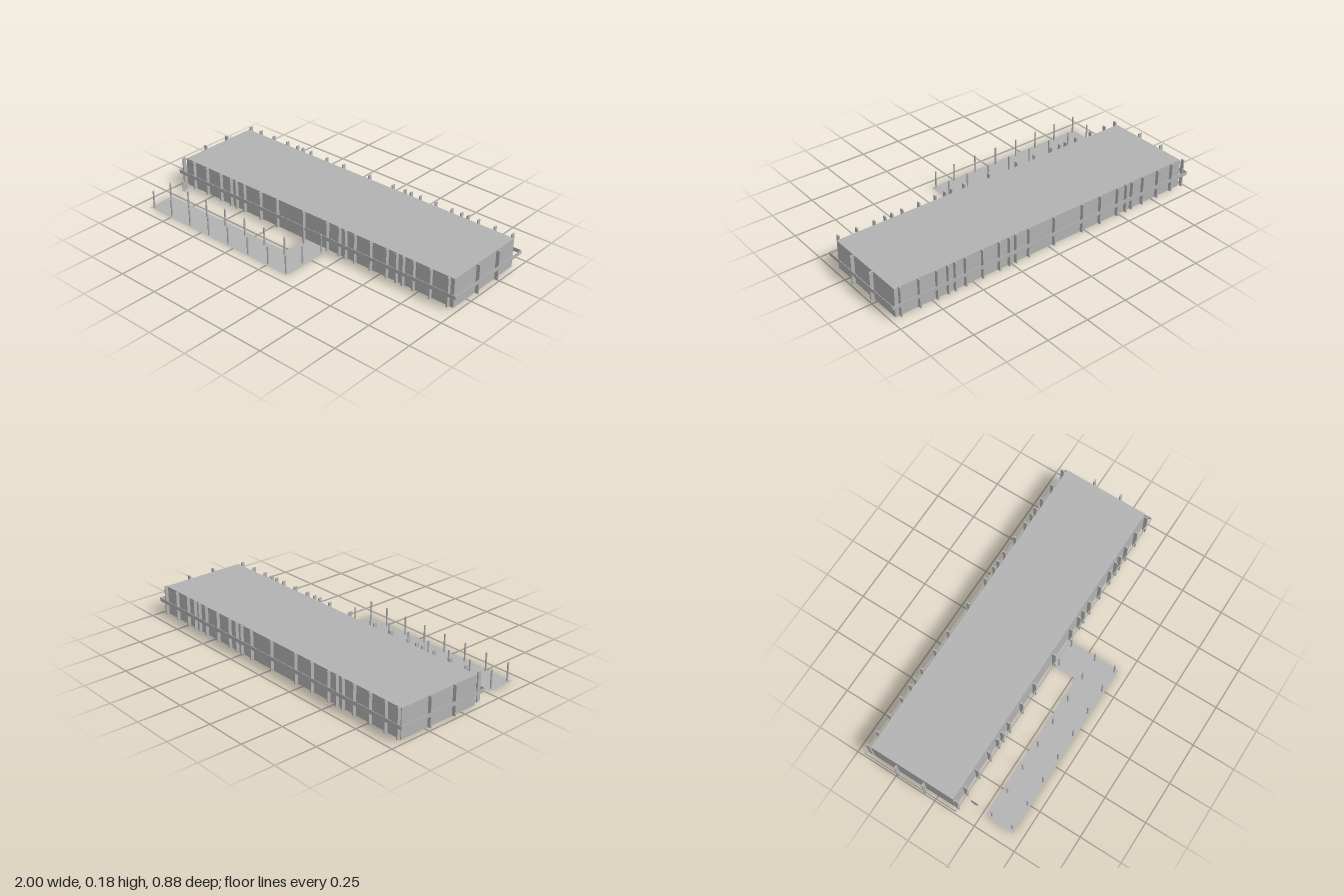
import * as THREE from 'three';

export function createModel() {
  const model = new THREE.Group();
  const grey = new THREE.MeshStandardMaterial({ color: 0xb2b2b2, side: THREE.DoubleSide });
  grey.name = 'grey';

  const add = (name, geometry, parent = model) => {
    const mesh = new THREE.Mesh(geometry, grey);
    mesh.name = name;
    parent.add(mesh);
    return mesh;
  };
  // Box given by its minimum and maximum on each axis
  const box = (name, x0, x1, y0, y1, z0, z1, parent) =>
    add(name, new THREE.BoxGeometry(x1 - x0, y1 - y0, z1 - z0), parent)
      .position.set((x0 + x1) / 2, (y0 + y1) / 2, (z0 + z1) / 2);
  const group = (name) => {
    const g = new THREE.Group();
    g.name = name;
    model.add(g);
    return g;
  };

  // Main hall
  box('hall', -0.968, 0.968, 0, 0.171, -0.41, 0.107);

  // Thin band running around the facade, standing clear of the walls
  const outline = (x, z0, z1) => [[-x, z0], [x, z0], [x, z1], [-x, z1]]
    .map(([a, b]) => new THREE.Vector2(a, -b));
  const ring = new THREE.Shape(outline(1, -0.441, 0.139));
  ring.holes.push(new THREE.Path(outline(0.997, -0.438, 0.136)));
  const band = add('facadeBand', new THREE.ExtrudeGeometry(ring, { depth: 0.022, bevelEnabled: false }));
  band.rotation.x = -Math.PI / 2;
  band.position.y = 0.076;

  // Vertical fins behind the band, on the long sides and on the ends
  const fins = group('facadeFins');
  const finX = [-0.968, -0.882, -0.773, -0.66, -0.578, -0.535, -0.471, -0.345, -0.217, -0.021,
    0.15, 0.235, 0.278, 0.342, 0.449, 0.556, 0.62, 0.663, 0.73, 0.836, 0.947];
  for (const x of finX) {
    box('frontFin', x - 0.004, x + 0.004, 0.011, 0.183, 0.116, 0.137, fins);
    box('backFin', x - 0.004, x + 0.004, 0.011, 0.183, -0.439, -0.419, fins);
  }
  for (const z of [-0.066, -0.238]) {
    box('leftFin', 0.977, 0.998, 0.011, 0.183, z - 0.004, z + 0.004, fins);
    box('rightFin', -0.998, -0.977, 0.011, 0.183, z - 0.004, z + 0.004, fins);
  }

  // L-shaped paved walkway
  const path = new THREE.Shape([[-0.923, 0.441], [0.147, 0.441], [0.147, 0.107],
    [-0.021, 0.107], [-0.021, 0.273], [-0.923, 0.273]].map(([x, z]) => new THREE.Vector2(x, -z)));
  add('walkway', new THREE.ShapeGeometry(path)).rotation.x = -Math.PI / 2;

  // Poles along the walkway
  const poles = group('walkwayPoles');
  const poleGeometry = new THREE.CylinderGeometry(0.005, 0.005, 0.108, 10);
  const pole = (x, z) => add('pole', poleGeometry, poles).position.set(x, 0.054, z);
  for (const x of [-0.903, -0.754, -0.604, -0.454, -0.302, -0.152, -0.002, 0.127]) {
    pole(x, 0.299);
    pole(x, 0.426);
  }
  pole(-0.002, 0.149);
  pole(0.127, 0.149);

  // Small sign on a post
  box('signBoard', -0.904, -0.902, 0.017, 0.07, 0.169, 0.21);
  box('signPost', -0.907, -0.904, 0, 0.044, 0.188, 0.191);

  return model;
}
